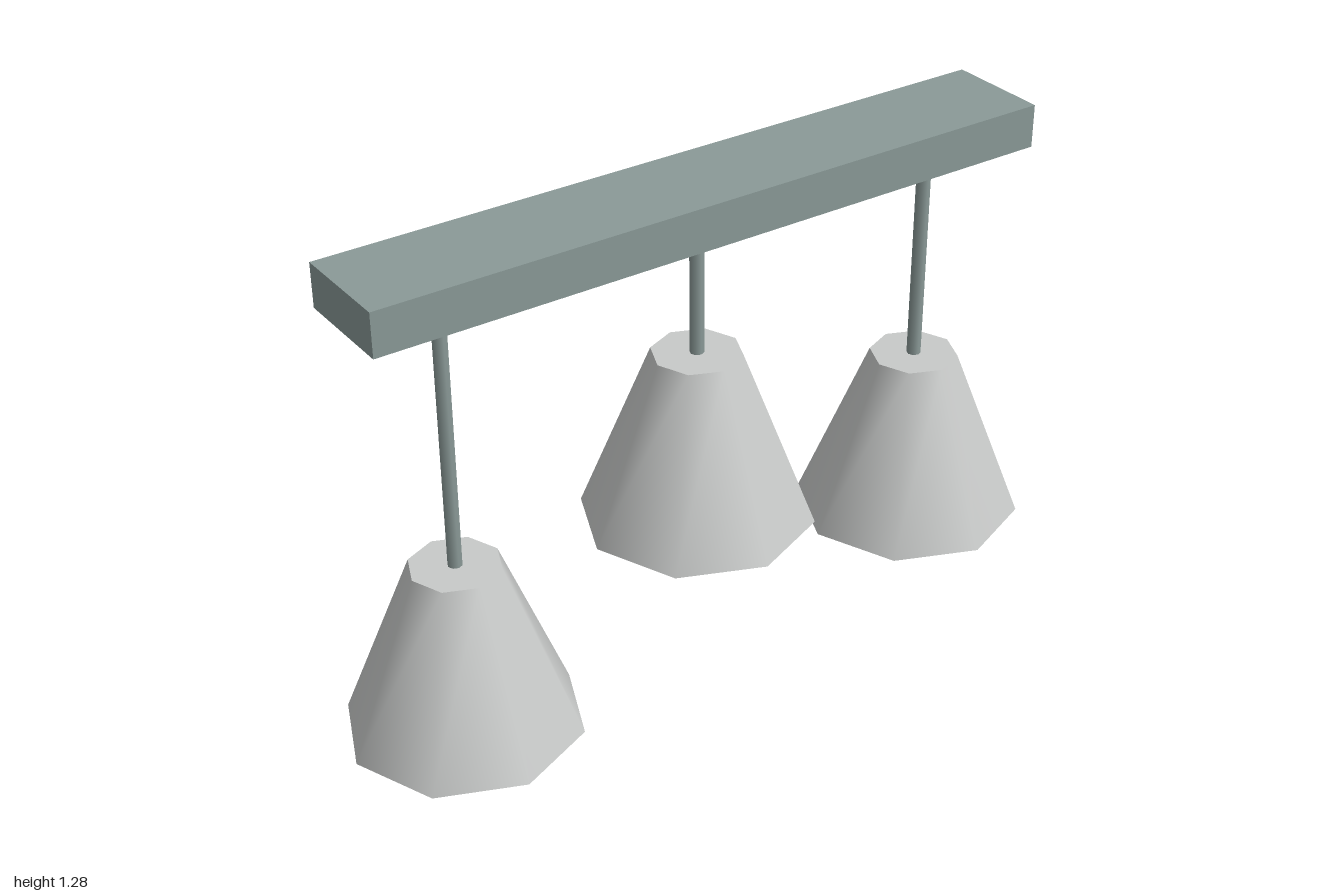
import * as THREE from 'three';

export function createModel() {
  const model = new THREE.Group();
  const metal = new THREE.MeshStandardMaterial({ name: 'grey green metal', color: 0x8b9a98 });
  const shadeGrey = new THREE.MeshStandardMaterial({ name: 'light grey shade', color: 0xc8cac9 });

  const add = (parent, name, geometry, material, y) => {
    const mesh = new THREE.Mesh(geometry, material);
    mesh.name = name;
    mesh.position.y = y;
    parent.add(mesh);
  };

  // Ceiling bar
  const barBottom = 1.167, barTop = 1.28;
  add(model, 'ceilingBar', new THREE.BoxGeometry(1.858, barTop - barBottom, 0.276),
    metal, (barTop + barBottom) / 2);

  // Pendants: x position and height of the shade's lower rim
  const shadeHeight = 0.465;
  const pendants = [
    ['rightPendant', -0.698, 0],
    ['middlePendant', 0, 0.35],
    ['leftPendant', 0.698, 0.119],
  ];
  for (const [name, x, bottom] of pendants) {
    const pendant = new THREE.Group();
    pendant.name = name;
    pendant.position.x = x;
    model.add(pendant);

    // Eight-sided closed shade with smooth sides
    add(pendant, 'shade', new THREE.CylinderGeometry(0.116, 0.302, shadeHeight, 8),
      shadeGrey, bottom + shadeHeight / 2);

    // Rod from the shade up to the bar
    const rodBottom = bottom + shadeHeight;
    add(pendant, 'rod', new THREE.CylinderGeometry(0.0185, 0.0185, barBottom - rodBottom, 8),
      metal, (barBottom + rodBottom) / 2);
  }

  return model;
}
